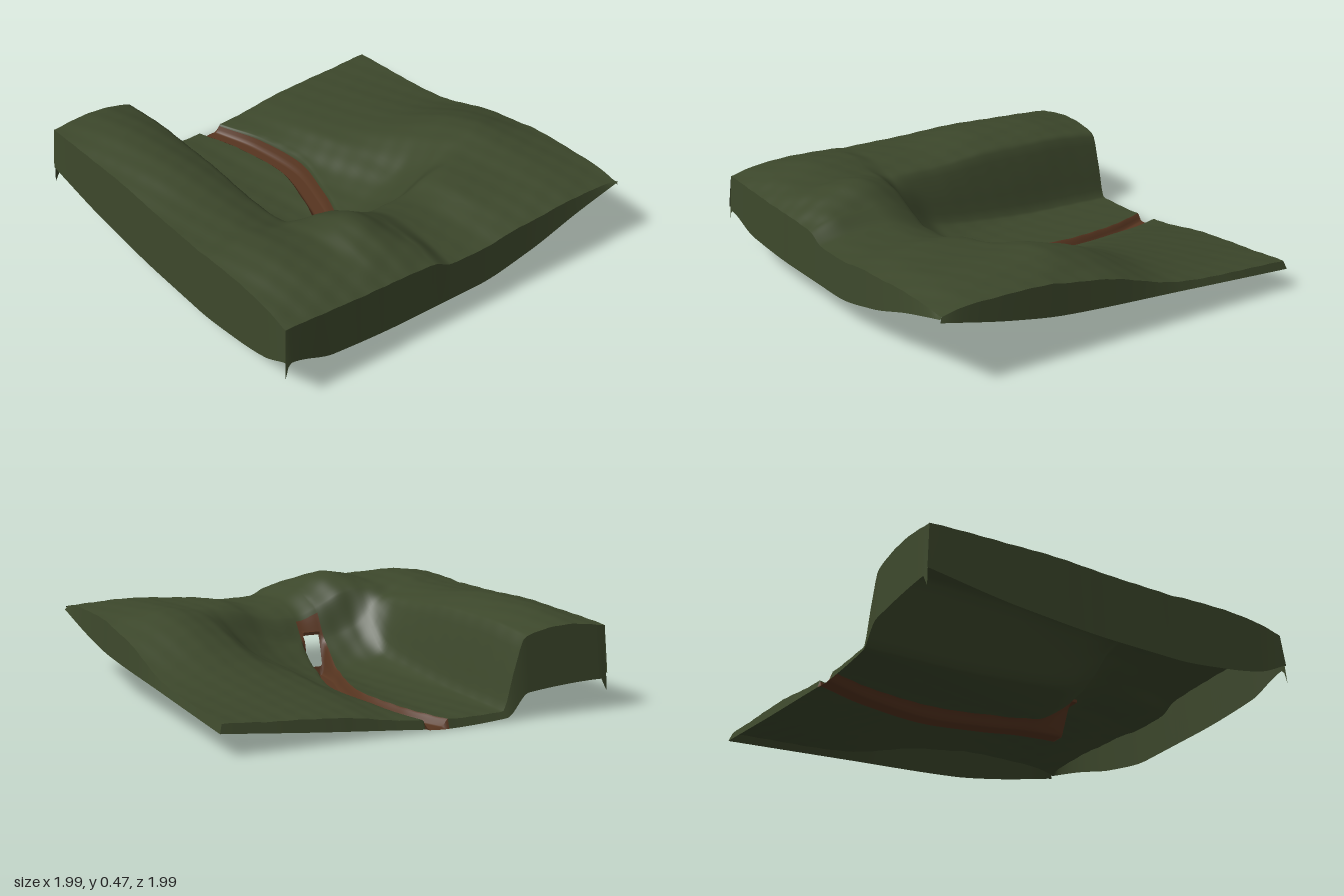
import * as THREE from 'three';

const S = 0.954;      // half size of the ground sheet
const FLARE = 0.967;  // half size at the foot of the skirts
const BANK = 0.065;   // half width of the stream cut
const NORTH = -0.056; // where the brown bed meets the grassy back bank

// Smooth curve through (xs, ys) without overshoot
function curve(xs, ys, x) {
  const n = xs.length - 1;
  if (x <= xs[0]) return ys[0];
  if (x >= xs[n]) return ys[n];
  let i = 0;
  while (x > xs[i + 1]) i++;
  const slope = (k) => (ys[k + 1] - ys[k]) / (xs[k + 1] - xs[k]);
  const tangent = (k) => {
    if (k === 0) return slope(0);
    if (k === n) return slope(n - 1);
    const a = slope(k - 1), b = slope(k);
    return a * b <= 0 ? 0 : (2 * a * b) / (a + b);
  };
  const h = xs[i + 1] - xs[i], s = (x - xs[i]) / h, s2 = s * s, s3 = s2 * s;
  return (2 * s3 - 3 * s2 + 1) * ys[i] + (s3 - 2 * s2 + s) * h * tangent(i)
    + (3 * s2 - 2 * s3) * ys[i + 1] + (s3 - s2) * h * tangent(i + 1);
}

// Land cross-sections: one row of heights (back to front) per x station
const X = [-0.96, -0.6, -0.3, 0.1, 0.3, 0.41, 0.6, 0.8, 0.96];
const Z = [-0.96, -0.68, -0.5, -0.3, -0.12, 0.05, 0.15, 0.33, 0.41, 0.465, 0.52, 0.74, 0.96];
const ROWS = [
  [0.14, 0.12, 0.11, 0.09, 0.06, 0.048, 0.04, 0.04, 0.045, 0.22, 0.37, 0.41, 0.39],
  [0.16, 0.16, 0.15, 0.13, 0.08, 0.05, 0.04, 0.045, 0.055, 0.24, 0.40, 0.455, 0.41],
  [0.19, 0.21, 0.20, 0.16, 0.08, 0.055, 0.045, 0.055, 0.075, 0.25, 0.40, 0.46, 0.42],
  [0.30, 0.36, 0.32, 0.18, 0.11, 0.075, 0.06, 0.09, 0.13, 0.27, 0.38, 0.43, 0.415],
  [0.33, 0.40, 0.37, 0.27, 0.19, 0.17, 0.18, 0.23, 0.29, 0.35, 0.38, 0.43, 0.415],
  [0.35, 0.395, 0.375, 0.355, 0.30, 0.295, 0.33, 0.41, 0.42, 0.42, 0.42, 0.45, 0.425],
  [0.36, 0.39, 0.375, 0.37, 0.335, 0.35, 0.395, 0.475, 0.465, 0.45, 0.44, 0.46, 0.43],
  [0.36, 0.38, 0.37, 0.355, 0.33, 0.34, 0.395, 0.435, 0.435, 0.43, 0.425, 0.43, 0.42],
  [0.34, 0.35, 0.34, 0.33, 0.31, 0.315, 0.355, 0.365, 0.365, 0.37, 0.37, 0.38, 0.39],
];
const land = (x, z) => curve(X, ROWS.map((r) => curve(Z, r, z)), x);

// Stream centre line; grid rows bend to follow it
const streamZ = (x) => curve([-0.96, -0.7, -0.4, -0.1, 0.1, 0.3, 0.4],
  [0.06, -0.02, -0.057, 0.007, 0.073, 0.1, 0.1], x);
const rowZ = (x, t) => t + streamZ(x) * (1 - THREE.MathUtils.smoothstep(Math.abs(t), BANK, 0.4));

// Surface point: land with the stream bed cut in, ending in a steep head wall
function surface(x, t) {
  const z = rowZ(x, t), base = land(x, z);
  let y = base;
  if (Math.abs(t) < BANK) {
    const floor = 0.008 + Math.max(0, x - 0.27) * 4.2;
    const k = THREE.MathUtils.smoothstep(Math.abs(t), 0.035, BANK);
    y = THREE.MathUtils.lerp(Math.min(floor, base), base, k);
  } else {
    y += 0.002 * Math.sin(31 * x + 17 * z) * Math.sin(43 * z - 19 * x);
  }
  return [x, y, z];
}

// Evenly divided stations through the given [end, steps] spans
function stations(start, spans) {
  const out = [start];
  let from = start;
  for (const [to, n] of spans) {
    for (let i = 1; i <= n; i++) out.push(from + ((to - from) * i) / n);
    from = to;
  }
  return out;
}

// Sheet over a grid of stations, keeping only the wanted cells
function sheet(us, ts, point, keep) {
  const pos = [], index = [], n = ts.length;
  for (const u of us) for (const t of ts) pos.push(...point(u, t));
  for (let i = 0; i < us.length - 1; i++) {
    for (let j = 0; j < n - 1; j++) {
      if (!keep((us[i] + us[i + 1]) / 2, (ts[j] + ts[j + 1]) / 2)) continue;
      const a = i * n + j, b = a + 1, c = a + n, d = c + 1;
      index.push(a, b, c, b, d, c);
    }
  }
  const g = new THREE.BufferGeometry();
  g.setAttribute('position', new THREE.Float32BufferAttribute(pos, 3));
  g.setIndex(index);
  g.computeVertexNormals();
  return g;
}

export function createModel() {
  const grass = new THREE.MeshStandardMaterial({ color: 0x3c472b, side: THREE.DoubleSide });
  grass.name = 'grass green';
  const earth = new THREE.MeshStandardMaterial({ color: 0x573520, side: THREE.DoubleSide });
  earth.name = 'earth brown';

  const group = new THREE.Group();
  group.name = 'terrain';
  const add = (name, geometry, material) => {
    const m = new THREE.Mesh(geometry, material);
    m.name = name;
    group.add(m);
  };

  const us = stations(-S, [[0.24, 60], [0.4, 16], [S, 28]]);
  const ts = stations(-S, [[-BANK, 44], [NORTH, 2], [BANK, 15], [S, 56]]);

  // Ground and stream bed, with the culvert opening left out of the head wall
  const inBed = (x, t) => t > NORTH && t < BANK && x < 0.38;
  const inHole = (x, t) => Math.abs(t) < 0.037 && x > 0.28 && x < 0.33;
  add('ground', sheet(us, ts, surface, (x, t) => !inBed(x, t)), grass);
  add('streamBed', sheet(us, ts, surface, (x, t) => inBed(x, t) && !inHole(x, t)), earth);

  // Skirts hanging from the edges: edge point, outward axis and foot curve
  const skirt = (name, list, edge, axis, side, at, feet, keep, material) => {
    const point = (s, k) => {
      const p = edge(s);
      const foot = Math.min(curve(at, feet, p[2 - axis]), p[1] - 0.004);
      p[2 - axis] *= THREE.MathUtils.lerp(1, FLARE / S, k);
      p[axis] = side * THREE.MathUtils.lerp(S, FLARE, k);
      p[1] = Math.max(0, THREE.MathUtils.lerp(p[1], foot, k));
      return p;
    };
    const order = (axis === 2) === (side > 0) ? [1, 0] : [0, 1];
    add(name, sheet(list, order, point, keep), material);
  };
  const all = () => true;
  skirt('frontSkirt', us, (s) => surface(s, S), 2, 1,
    [-0.95, -0.5, 0, 0.3, 0.6, 0.8, 0.95], [0.17, 0.115, 0.09, 0.09, 0.12, 0.16, 0.23], all, grass);
  skirt('backSkirt', us, (s) => surface(s, -S), 2, -1,
    [-0.95, -0.33, 0.33, 0.6, 0.95], [0.1, 0.145, 0.195, 0.24, 0.32], all, grass);
  skirt('leftSkirt', ts, (s) => surface(S, s), 0, 1,
    [-0.95, -0.7, -0.4, -0.1, 0.3, 0.7, 0.93, 0.952],
    [0.335, 0.27, 0.18, 0.13, 0.13, 0.15, 0.215, 0.14], all, grass);
  const rightAt = [-0.95, -0.5, 0, 0.1, 0.42, 0.53, 0.92, 0.95];
  const rightFeet = [0.1, 0.055, 0.01, 0, 0.015, 0.12, 0.145, 0.085];
  const rightEdge = (s) => surface(-S, s);
  const inMouth = (s) => s > NORTH && s < BANK;
  skirt('rightSkirt', ts, rightEdge, 0, -1, rightAt, rightFeet, (s) => !inMouth(s), grass);
  skirt('streamMouth', ts, rightEdge, 0, -1, rightAt, rightFeet, inMouth, earth);

  // Brown lintel over the culvert
  const lintel = new THREE.BoxGeometry(0.04, 0.015, 0.09);
  lintel.translate(0.335, surface(0.335, 0)[1], streamZ(0.335));
  add('culvertLintel', lintel, earth);

  group.rotation.y = 0.03;
  const model = new THREE.Group();
  model.name = 'landscape';
  model.add(group);
  return model;
}
